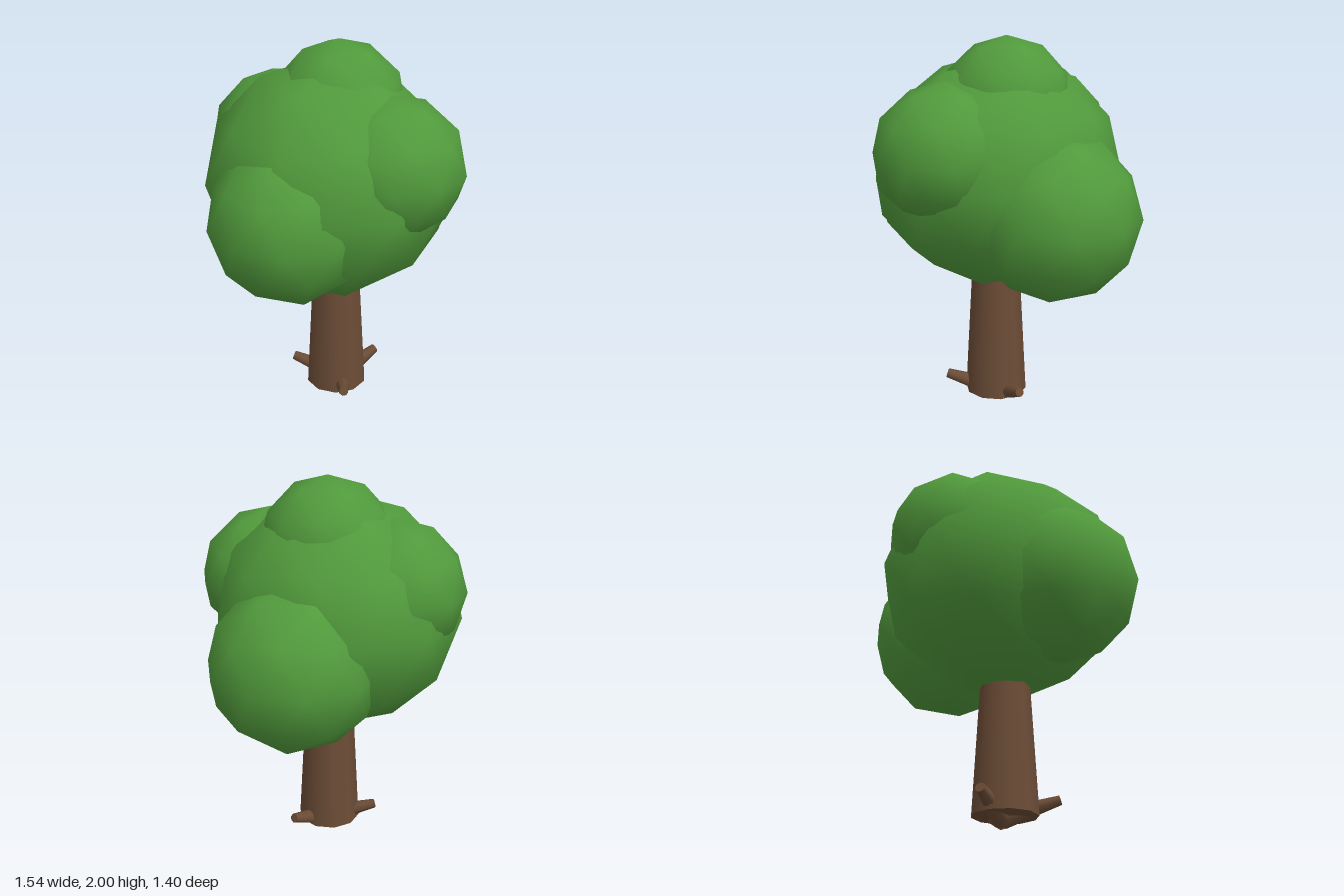
import * as THREE from 'three';

export function createModel() {
  const tree = new THREE.Group();
  const leafGreen = new THREE.MeshStandardMaterial({ color: 0x519a3c });
  leafGreen.name = 'leafGreen';
  const barkBrown = new THREE.MeshStandardMaterial({ color: 0x6b4c36 });
  barkBrown.name = 'barkBrown';

  const add = (name, geometry, material) => {
    const mesh = new THREE.Mesh(geometry, material);
    mesh.name = name;
    tree.add(mesh);
    return mesh;
  };

  // Leaf clumps: coarse smooth balls with one corner pointing straight up
  const ball = new THREE.IcosahedronGeometry(1, 1);
  ball.rotateX(-Math.atan((1 + Math.sqrt(5)) / 2));
  ball.rotateY(Math.PI / 2);
  const clumps = [
    // name, centre, radii, turn about the upright axis
    ['mainCanopy', [-0.055, 1.3, -0.025], [0.632, 0.612, 0.66], -0.08],
    ['leftClump', [0.35, 1.13, -0.135], [0.437, 0.435, 0.437], 0],
    ['rightClump', [-0.378, 1.19, 0.12], [0.42, 0.42, 0.41], 0],
    ['frontClump', [0.067, 1.435, 0.33], [0.378, 0.362, 0.37], 0],
    ['backClump', [-0.145, 1.45, -0.33], [0.36, 0.36, 0.37], 0],
    ['topClump', [0.02, 1.65, -0.035], [0.345, 0.35, 0.35], 0],
  ];
  for (const [name, centre, radii, turn] of clumps) {
    const clump = add(name, ball, leafGreen);
    clump.position.set(...centre);
    clump.scale.set(...radii);
    clump.rotation.y = turn;
  }

  // Tapered trunk, running up into the canopy
  const trunk = add('trunk', new THREE.CylinderGeometry(0.122, 0.168, 0.84, 10), barkBrown);
  trunk.position.set(-0.03, 0.48, 0);

  // Three stubby roots fanning out from the foot of the trunk
  const up = new THREE.Vector3(0, 1, 0);
  for (const [x, z] of [[0.245, 0], [-0.15, 0.243], [-0.18, -0.21]]) {
    const start = new THREE.Vector3(0, 0.056, 0);
    const end = new THREE.Vector3(x, 0.142, z);
    const along = end.clone().sub(start);
    const root = add('root', new THREE.CylinderGeometry(0.025, 0.055, along.length(), 8), barkBrown);
    root.position.copy(start).add(end).multiplyScalar(0.5);
    root.quaternion.setFromUnitVectors(up, along.normalize());
  }

  return tree;
}
